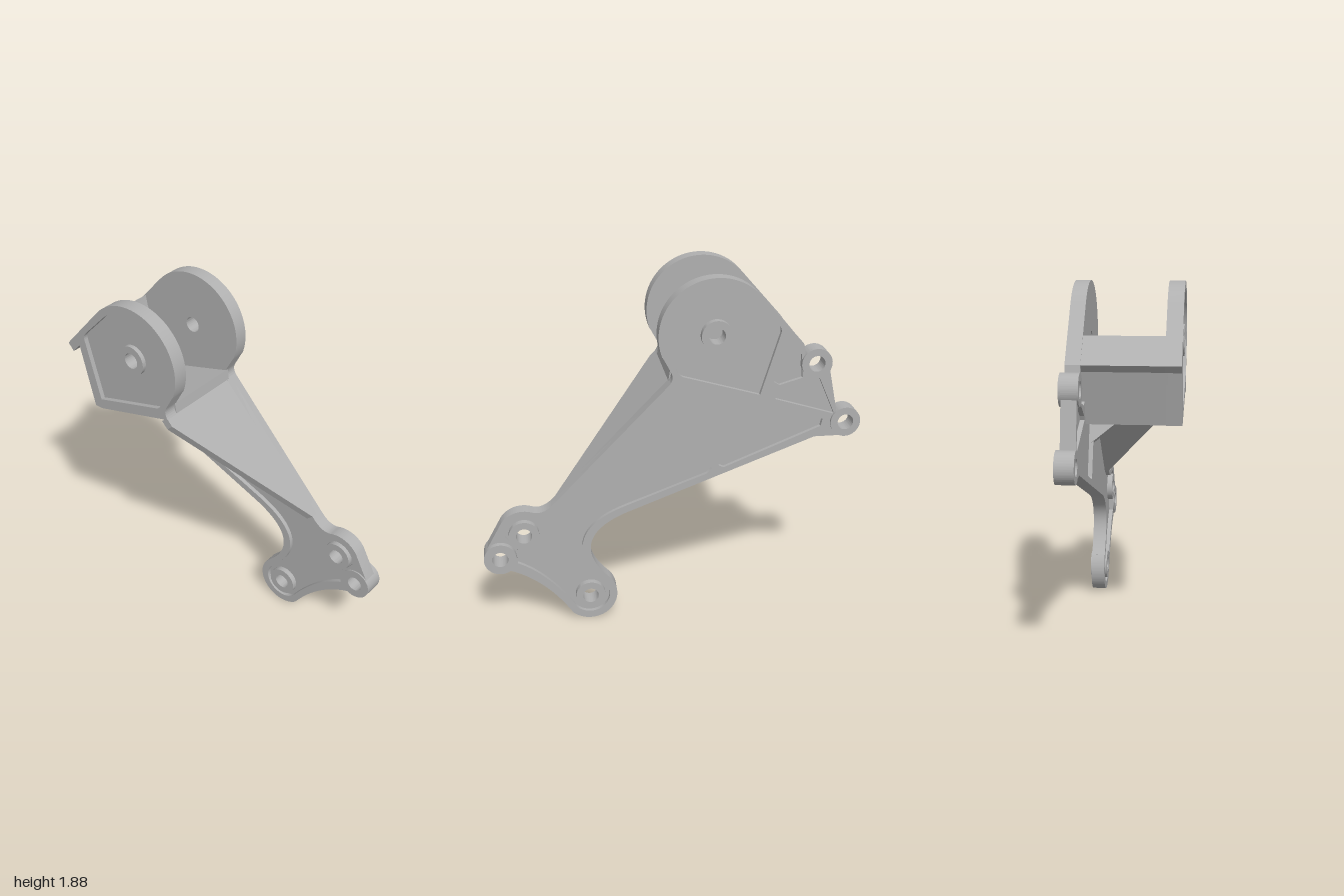
import * as THREE from 'three';
import { toCreasedNormals } from 'three/addons/utils/BufferGeometryUtils.js';

const HOLE = 0.042;
const HEAD = [-0.23, 1.59];

export function createModel() {
  const group = new THREE.Group();
  const metal = new THREE.MeshStandardMaterial({ color: 0xb0b0b0 });
  metal.name = 'cast grey';

  const poly = (pts) => new THREE.Shape(pts.map((p) => new THREE.Vector2(p[0], p[1])));
  const circle = ([x, y], r) => new THREE.Shape().absarc(x, y, r, 0, Math.PI * 2, false);

  // Extrude a shape along z between two depths
  function slab(name, shape, z0, z1, holes = []) {
    const s = shape.clone();
    s.holes = holes;
    const g = new THREE.ExtrudeGeometry(s, { depth: z1 - z0, bevelEnabled: false, curveSegments: 28 });
    g.translate(0, 0, z0);
    return add(name, g);
  }
  function add(name, geometry) {
    const mesh = new THREE.Mesh(toCreasedNormals(geometry, 0.5), metal);
    mesh.name = name;
    group.add(mesh);
    return mesh;
  }
  const boss = (name, c, r, z0, z1) => slab(name, circle(c, r), z0, z1, [circle(c, HOLE)]);

  // Outline of the large rear plate
  const outline = new THREE.Shape();
  outline.moveTo(0.62, 0.71);
  outline.lineTo(0.01, 1.34);
  outline.quadraticCurveTo(-0.015, 1.37, 0, 1.405);
  outline.lineTo(0.045, 1.489);
  outline.absarc(...HEAD, 0.295, -0.35, 2.42, false);
  outline.lineTo(-0.68, 1.525);
  outline.absarc(-0.75, 1.42, 0.08, 0.7, 3.6, false);
  outline.absarc(-0.92, 1.09, 0.08, 0.9, 4.9, false);
  outline.lineTo(-0.76, 1.012);
  outline.lineTo(0.24, 0.635);
  outline.bezierCurveTo(0.5, 0.53, 0.46, 0.37, 0.331, 0.246);
  outline.absarc(0.44, 0.15, 0.145, 2.42, 5.45, false);
  outline.quadraticCurveTo(0.68, 0.27, 0.94 - 0.06, 0.34);
  outline.absarc(0.91, 0.42, 0.085, -1.2, 0.35, false);
  outline.absarc(0.78, 0.54, 0.14, 0.6, 1.9, false);
  outline.quadraticCurveTo(0.68, 0.65, 0.62, 0.71);

  // Recessed pockets inside the rims
  const headPocket = new THREE.Shape();
  headPocket.moveTo(-0.46, 1.262);
  headPocket.lineTo(-0.06, 1.38);
  headPocket.quadraticCurveTo(-0.03, 1.39, 0.005, 1.49);
  headPocket.absarc(...HEAD, 0.255, -0.38, 2.42, false);
  headPocket.lineTo(-0.545, 1.63);
  headPocket.quadraticCurveTo(-0.565, 1.61, -0.555, 1.58);

  const earPocket = poly([[-0.68, 1.345], [-0.56, 1.31], [-0.53, 1.33], [-0.595, 1.545], [-0.67, 1.47]]);
  const sidePocket = poly([[-0.86, 1.135], [-0.54, 1.235], [-0.55, 1.255], [-0.7, 1.35], [-0.77, 1.34]]);
  const middlePocket = poly([[-0.8, 1.11], [-0.79, 1.07], [-0.28, 0.865], [-0.255, 0.875], [-0.08, 1.31], [-0.1, 1.322]]);

  const armPocket = new THREE.Shape();
  armPocket.moveTo(-0.015, 1.32);
  armPocket.lineTo(-0.035, 1.3);
  armPocket.lineTo(-0.215, 0.86);
  armPocket.lineTo(-0.19, 0.835);
  armPocket.lineTo(0.25, 0.672);
  armPocket.bezierCurveTo(0.55, 0.56, 0.51, 0.37, 0.366, 0.225);
  armPocket.absarc(0.44, 0.15, 0.105, 2.35, 5.5, false);
  armPocket.quadraticCurveTo(0.66, 0.3, 0.82, 0.375);
  armPocket.lineTo(0.82, 0.46);
  armPocket.lineTo(0.86, 0.51);
  armPocket.absarc(0.78, 0.54, 0.1, 0, 1.9, false);
  armPocket.quadraticCurveTo(0.67, 0.62, 0.59, 0.685);

  // Rear plate: full-depth rim and thin pocket floors
  const back = -0.26, front = -0.185;
  const ears = [[-0.75, 1.42], [-0.92, 1.09]];
  const armBolts = [[0.44, 0.15], [0.78, 0.54]];
  const tip = [0.91, 0.42];
  slab('rearPlateRim', outline, back, front, [
    headPocket, earPocket, sidePocket, middlePocket, armPocket,
    ...[...ears, tip].map((c) => circle(c, HOLE)),
  ]);
  slab('rearHeadFloor', headPocket, -0.237, front, [circle(HEAD, HOLE)]);
  slab('earPocketFloor', earPocket, -0.238, -0.208);
  slab('sidePocketFloor', sidePocket, -0.238, -0.208);
  slab('middlePocketFloor', middlePocket, -0.238, -0.208);
  slab('armPocketFloor', armPocket, -0.238, -0.208, armBolts.map((c) => circle(c, HOLE)));

  // Bolt bosses
  for (const c of [...ears, ...armBolts]) boss('boltBoss', c, 0.08, -0.272, -0.178);
  boss('tipBoss', tip, 0.086, -0.29, -0.178);
  boss('rearPivotBoss', HEAD, 0.08, -0.272, -0.2);
  boss('frontPivotBoss', HEAD, 0.08, 0.22, 0.288);

  // Front clevis plate
  const clevis = new THREE.Shape();
  clevis.moveTo(0.01, 1.34);
  clevis.quadraticCurveTo(-0.015, 1.37, 0, 1.405);
  clevis.lineTo(0.045, 1.489);
  clevis.absarc(...HEAD, 0.295, -0.35, 2.42, false);
  for (const p of [[-0.68, 1.525], [-0.645, 1.487], [-0.597, 1.54], [-0.505, 1.205], [-0.46, 1.205]]) clevis.lineTo(...p);
  slab('clevisRim', clevis, 0.21, 0.29, [headPocket]);
  slab('clevisFloor', headPocket, 0.21, 0.265, [circle(HEAD, HOLE)]);

  // Bent web joining the two plates: tab, side wall and floor
  slab('clevisWeb', poly([
    [-0.562, 1.65], [-0.679, 1.524], [-0.645, 1.488], [-0.598, 1.541], [-0.504, 1.206], [-0.46, 1.206],
    [0.008, 1.34], [-0.002, 1.4], [-0.06, 1.382], [-0.43, 1.271], [-0.455, 1.28], [-0.552, 1.6],
  ]), -0.2, 0.22);

  // Upright triangular gussets: profile in (distance along the line, z)
  function gusset(name, a, b, thickness, profile) {
    const dir = new THREE.Vector3(b[0] - a[0], b[1] - a[1], 0).normalize();
    const up = new THREE.Vector3(0, 0, 1);
    const g = new THREE.ExtrudeGeometry(poly(profile), { depth: thickness, bevelEnabled: false });
    g.applyMatrix4(new THREE.Matrix4()
      .makeBasis(dir, up, dir.clone().cross(up))
      .setPosition(a[0], a[1], 0));
    add(name, g);
  }
  gusset('armGusset', [0.01, 1.34], [0.62, 0.71], 0.045, [[-0.01, -0.22], [0.86, -0.22], [0.86, -0.186], [0.04, 0.289], [-0.01, 0.289]]);
  gusset('middleGusset', [-0.035, 1.31], [-0.215, 0.86], 0.045, [[-0.02, -0.22], [0.32, -0.22], [0.3, -0.186], [0.02, 0.15], [-0.02, 0.15]]);

  return group;
}
